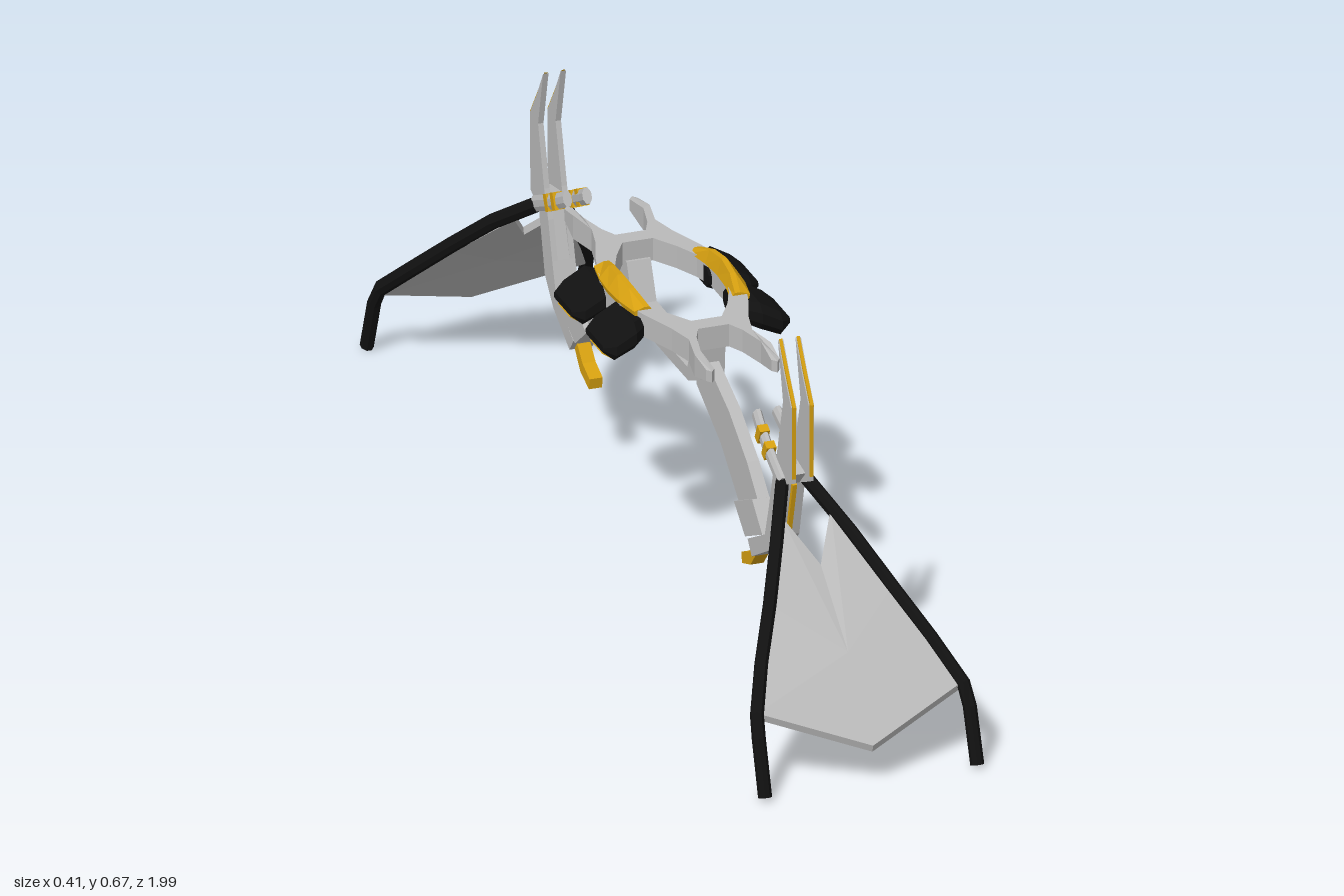
import * as THREE from 'three';

const mat = (name, color) => {
  const m = new THREE.MeshStandardMaterial({ color, flatShading: true });
  m.name = name;
  return m;
};

export function createModel() {
  const grey = mat('light grey', 0xbababa);
  const black = mat('black', 0x111111);
  const gold = mat('gold', 0xd6a010);
  const model = new THREE.Group();
  model.name = 'archedFrame';

  const add = (parent, name, geo, material) => {
    const mesh = new THREE.Mesh(geo, material);
    mesh.name = name;
    parent.add(mesh);
    return mesh;
  };
  const shapeOf = (pts) => new THREE.Shape(pts.map(([a, b]) => new THREE.Vector2(a, b)));

  // Side profile [z, y] given a width across x, centred on x
  const plate = (pts, x, width) => {
    const g = new THREE.ExtrudeGeometry(shapeOf(pts), { depth: width, bevelEnabled: false });
    return g.translate(0, 0, -width / 2).rotateY(-Math.PI / 2).translate(x, 0, 0);
  };

  // Closed skin through rings of [x, y, z], capped by fans; side = -1 mirrors x
  const loft = (rings, side = 1, capA, capB) => {
    const mid = (r) => [0, 1, 2].map((k) => r.reduce((s, p) => s + p[k], 0) / r.length);
    const first = rings[0], last = rings[rings.length - 1], n = first.length;
    const a = capA || mid(first), b = capB || mid(last);
    const tris = [];
    for (let i = 0; i < n; i++) {
      const j = (i + 1) % n;
      tris.push([a, first[j], first[i]], [b, last[i], last[j]]);
      for (let r = 0; r + 1 < rings.length; r++) {
        const p = rings[r], q = rings[r + 1];
        tris.push([p[i], p[j], q[j]], [p[i], q[j], q[i]]);
      }
    }
    const vec = tris.map((t) => t.map((p) => new THREE.Vector3(p[0] * side, p[1], p[2])));
    const centre = new THREE.Vector3(...a).multiply(new THREE.Vector3(side, 1, 1));
    let volume = 0;
    for (const [p, q, r] of vec) {
      const u = p.clone().sub(centre), v = q.clone().sub(centre), w = r.clone().sub(centre);
      volume += u.dot(v.cross(w));
    }
    const pts = vec.flatMap(([p, q, r]) => (volume < 0 ? [p, r, q] : [p, q, r]));
    const g = new THREE.BufferGeometry().setFromPoints(pts);
    g.computeVertexNormals();
    return g;
  };

  // Eight-sided bar along a path
  const bar = (path, halfWidth, halfHeight, side) => {
    const P = path.map((p) => new THREE.Vector3(...p));
    const rings = P.map((p, i) => {
      const t = P[Math.min(i + 1, P.length - 1)].clone().sub(P[Math.max(i - 1, 0)]).normalize();
      const s = new THREE.Vector3(1, 0, 0).addScaledVector(t, -t.x).normalize();
      const u = new THREE.Vector3().crossVectors(t, s);
      return Array.from({ length: 8 }, (_, k) => {
        const a = (k + 0.5) * Math.PI / 4;
        return p.clone().addScaledVector(s, Math.cos(a) * halfWidth * 1.08)
          .addScaledVector(u, Math.sin(a) * halfHeight * 1.08).toArray();
      });
    });
    return loft(rings, side);
  };

  // ---- Centre: lower bar with struts rising to the ring
  const barHalf = [[0.205, 0.49], [0.165, 0.49], [0.135, 0.422], [-0.135, 0.422], [-0.165, 0.49],
    [-0.205, 0.49], [-0.2, 0.425], [-0.14, 0.398], [0.14, 0.398], [0.2, 0.425]];
  add(model, 'centreBar', plate(barHalf, 0, 0.044), grey);

  // Ring side outline [x, z] for z > 0, reflected front to back
  const outer = [[0.052, 0.35], [0.06, 0.36], [0.067, 0.35], [0.07, 0.3], [0.058, 0.24], [0.07, 0.19],
    [0.095, 0.12], [0.114, 0.05]];
  const inner = [[0.085, 0.04], [0.075, 0.08], [0.055, 0.125], [0.028, 0.17], [0, 0.17], [0, 0.205],
    [0.028, 0.205], [0.042, 0.235], [0.055, 0.29]];
  const flip = (pts) => pts.map(([x, z]) => [x, -z]).reverse();

  for (const side of [1, -1]) {
    const half = new THREE.Group();
    half.name = side > 0 ? 'leftRing' : 'rightRing';
    model.add(half);

    const outline = [...outer, ...flip(outer), ...flip(inner), ...inner].map(([x, z]) => [x * side, z]);
    const ring = new THREE.ExtrudeGeometry(shapeOf(outline), { depth: 0.042, bevelEnabled: false });
    ring.rotateX(Math.PI / 2).translate(0, 0.525, 0);
    // thin the prong tips
    const pos = ring.attributes.position;
    for (let i = 0; i < pos.count; i++) {
      if (Math.abs(pos.getZ(i)) > 0.32) pos.setY(i, 0.506 + (pos.getY(i) - 0.504) * 0.5);
    }
    ring.computeVertexNormals();
    add(half, 'ringSide', ring, grey);

    // raised gold cap following the ring
    const cap = [[-0.1, 0.53, -0.012], [-0.05, 0.545, -0.003], [0, 0.55, 0], [0.05, 0.545, -0.003], [0.1, 0.53, -0.012]]
      .map(([z, h, dx]) => [[0.082 + dx, 0.52, z], [0.09 + dx, h, z], [0.1 + dx, h, z], [0.118 + dx, 0.524, z], [0.116 + dx, 0.515, z]]);
    add(half, 'ringCap', loft(cap, side), gold);

    // drooping pods with gold end pads
    for (const end of [1, -1]) {
      const pod = [[0.08, 0.478, 0.514, 0.035, 0.105], [0.115, 0.467, 0.516, 0.018, 0.138],
        [0.152, 0.451, 0.494, 0.018, 0.138], [0.171, 0.466, 0.478, 0.035, 0.122]]
        .map(([x, lo, hi, z0, z1]) => {
          const c = (hi - lo) * 0.3;
          return [[x, lo, z0 + c], [x, lo + c, z0], [x, hi - c, z0], [x, hi, z0 + c],
            [x, hi, z1 - c], [x, hi - c, z1], [x, lo + c, z1], [x, lo, z1 - c]].map(([a, b, z]) => [a, b, z * end]);
        });
      add(half, 'pod', loft(pod, side), black);
      const pad = add(half, 'podPad', new THREE.BoxGeometry(0.022, 0.008, 0.06), gold);
      pad.position.set(0.157 * side, 0.456, 0.08 * end);
      pad.rotation.z = 0.6 * side;
    }
  }

  // ---- One end: arch, joint, blades and sail, repeated by a half turn
  const framePath = [[0.02, 0.412, 0.6], [0.068, 0.342, 0.7], [0.112, 0.268, 0.785],
    [0.155, 0.198, 0.86], [0.189, 0.135, 0.93], [0.193, 0.1, 0.95], [0.194, 0.004, 0.984]];
  const bladeProfile = [[0.58, 0.665], [0.61, 0.615], [0.645, 0.565], [0.643, 0.42], [0.6, 0.4], [0.572, 0.29],
    [0.53, 0.245], [0.45, 0.2], [0.43, 0.225], [0.515, 0.27], [0.535, 0.33], [0.555, 0.4], [0.575, 0.45], [0.605, 0.56]];
  const sailTop = [[0, 0.305, 0.735], [0.045, 0.372, 0.662], [0.112, 0.268, 0.785], [0.187, 0.137, 0.928],
    [0, 0.075, 0.994], [-0.187, 0.137, 0.928], [-0.112, 0.268, 0.785], [-0.045, 0.372, 0.662]];
  const lower = ([x, y, z]) => [x, y - 0.013, z - 0.004];

  for (const end of [0, 1]) {
    const g = new THREE.Group();
    g.name = end ? 'backEnd' : 'frontEnd';
    g.rotation.y = end * Math.PI;
    model.add(g);

    add(g, 'arch', plate([[0.15, 0.395], [0.27, 0.335], [0.37, 0.255], [0.46, 0.3], [0.4, 0.355],
      [0.31, 0.413], [0.2, 0.458], [0.15, 0.44]], 0, 0.022), grey);
    add(g, 'joint', plate([[0.455, 0.31], [0.365, 0.268], [0.42, 0.225], [0.505, 0.265]], 0, 0.044), grey);
    add(g, 'hook', plate([[0.46, 0.215], [0.435, 0.215], [0.41, 0.19], [0.375, 0.175], [0.378, 0.155],
      [0.42, 0.17]], 0, 0.024), gold);
    add(g, 'bladeCore', plate([[0.63, 0.43], [0.6, 0.4], [0.572, 0.29], [0.53, 0.245], [0.45, 0.2],
      [0.43, 0.225], [0.515, 0.27], [0.535, 0.33], [0.575, 0.44]], 0, 0.024), grey);
    add(g, 'lowerStrip', plate([[0.608, 0.4], [0.578, 0.288], [0.535, 0.24], [0.53, 0.246], [0.571, 0.292],
      [0.6, 0.402]], 0, 0.008), gold);

    for (const side of [1, -1]) {
      add(g, 'blade', plate(bladeProfile, 0.016 * side, 0.01), grey);
      add(g, 'bladeStrip', plate([[0.58, 0.667], [0.614, 0.616], [0.649, 0.566], [0.647, 0.43], [0.642, 0.43],
        [0.643, 0.564], [0.608, 0.614]], 0.016 * side, 0.006), gold);
      add(g, 'prong', bar([[0.024, 0.408, 0.61], [0.023, 0.44, 0.54], [0.02, 0.465, 0.49], [0.018, 0.477, 0.468]],
        0.008, 0.014, side), grey);
      for (const [y, z] of [[0.44, 0.54], [0.457, 0.507]]) {
        const band = add(g, 'prongBand', new THREE.BoxGeometry(0.018, 0.031, 0.016), gold);
        band.position.set(0.0225 * side, y, z);
        band.rotation.x = 0.46;
      }
      add(g, 'sailArm', bar(framePath, 0.011, 0.013, side), black);
    }
    add(g, 'sail', loft([sailTop, sailTop.map(lower)], 1, [0, 0.198, 0.87], lower([0, 0.198, 0.87])), grey);
  }
  return model;
}
